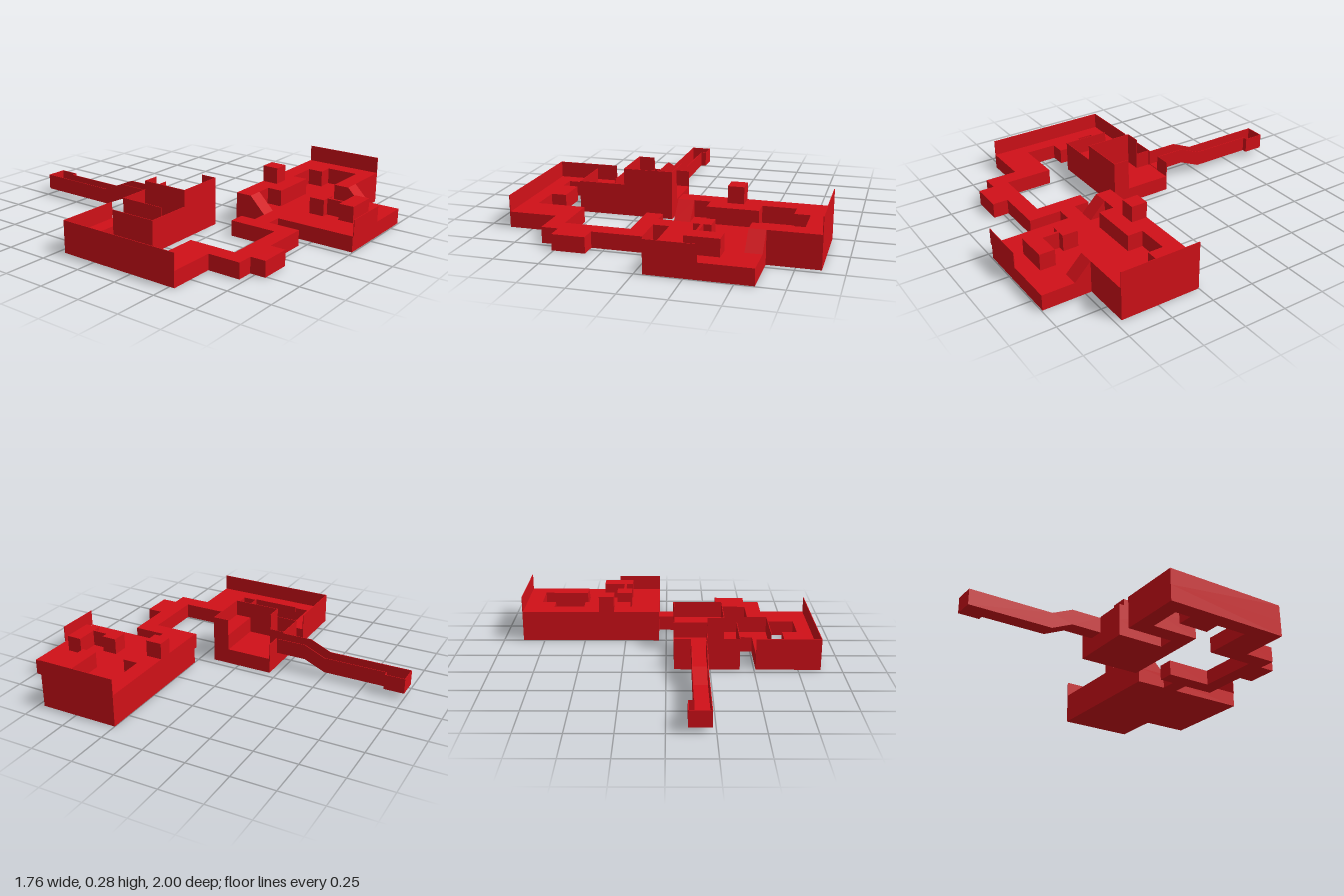
import * as THREE from 'three';

const LOW = 0.09, MID = 0.185, HIGH = 0.28; // floor and wall levels
const T = 0.004;                            // thickness of the thin walls

export function createModel() {
  const model = new THREE.Group();
  model.name = 'levelMap';
  const material = new THREE.MeshStandardMaterial({ color: 0xd01018, side: THREE.DoubleSide });

  const add = (name, geometry) => {
    const mesh = new THREE.Mesh(geometry, material);
    mesh.name = name;
    model.add(mesh);
    return mesh;
  };

  // Floor plan of [x, z] corners raised from y0 to y1
  const slab = (name, plan, y0, y1) => {
    const shape = new THREE.Shape(plan.map(([x, z]) => new THREE.Vector2(x, -z)));
    const geometry = new THREE.ExtrudeGeometry(shape, { depth: y1 - y0, bevelEnabled: false });
    add(name, geometry.rotateX(-Math.PI / 2).translate(0, y0, 0));
  };

  // Side profile of [z, y] corners spanning x0 to x1
  const profile = (name, points, x0, x1) => {
    const shape = new THREE.Shape(points.map(([z, y]) => new THREE.Vector2(z, y)));
    const geometry = new THREE.ExtrudeGeometry(shape, { depth: x1 - x0, bevelEnabled: false });
    add(name, geometry.rotateY(-Math.PI / 2).translate(x1, 0, 0));
  };

  const block = (name, x0, x1, z0, z1, y0, y1) =>
    add(name, new THREE.BoxGeometry(x1 - x0, y1 - y0, z1 - z0))
      .position.set((x0 + x1) / 2, (y0 + y1) / 2, (z0 + z1) / 2);

  // Thin walls, kept just inside the outer edges
  const wallX = (name, x, z0, z1, y0, y1) => block(name, x - T / 2, x + T / 2, z0, z1, y0, y1);
  const wallZ = (name, z, x0, x1, y0, y1) => block(name, x0, x1, z - T / 2, z + T / 2, y0, y1);

  // Winding path and small room
  slab('windingPath', [
    [0.045, 0.435], [0.045, 0.53], [-0.045, 0.53], [-0.045, 0.72], [-0.325, 0.72], [-0.325, 0.81],
    [-0.51, 0.81], [-0.51, 0.72], [-0.605, 0.72], [-0.605, 0.53], [-0.88, 0.53], [-0.88, -0.21],
    [-0.51, -0.21], [-0.51, 0.07], [-0.42, 0.07], [-0.42, -0.205], [-0.045, -0.205], [-0.045, 0.165],
    [-0.605, 0.165], [-0.605, -0.115], [-0.79, -0.115], [-0.79, -0.02], [-0.7, -0.02], [-0.7, 0.16],
    [-0.79, 0.16], [-0.79, 0.345], [-0.51, 0.345], [-0.51, 0.625], [-0.14, 0.625], [-0.14, 0.345],
    [-0.045, 0.345], [-0.045, 0.435],
  ], 0, LOW);
  wallX('pathOuterWall', -0.878, -0.21, 0.53, LOW, MID);
  wallZ('pathBackWall', -0.208, -0.88, -0.51, LOW, MID);
  wallX('pathInnerWall', -0.603, -0.115, 0.165, LOW, MID);

  // Small room walls and balcony
  wallZ('roomFrontWall', 0.163, -0.605, -0.33, LOW, MID);
  wallZ('roomTallFrontWall', 0.163, -0.33, -0.045, LOW, HIGH);
  wallX('roomEndWall', -0.047, 0.07, 0.165, LOW, HIGH);
  wallX('roomTallDivider', -0.33, -0.115, 0.165, LOW, HIGH);
  wallZ('roomTallReturn', -0.115, -0.33, -0.235, LOW, HIGH);
  wallX('roomDoorJamb', -0.235, -0.205, -0.115, LOW, MID);
  wallX('roomOuterWall', -0.418, -0.205, 0.07, LOW, MID);
  wallZ('roomBackWall', -0.203, -0.42, -0.23, LOW, MID);
  wallZ('roomBackWall', -0.203, -0.14, -0.045, LOW, MID);
  block('balcony', -0.33, -0.045, 0.067, 0.165, LOW, MID);

  // Sloping open corridor with an end room
  const run = [[-0.205, LOW], [-0.385, LOW], [-0.51, 0.035], [-1, 0.035]];
  const strip = (path, h) => [...path, ...path.map(([z, y]) => [z, y + h]).reverse()];
  const toRoom = [...run.slice(0, 3), [-0.88, 0.035]];
  profile('corridorFloor', strip(run, T), -0.23, -0.14);
  profile('corridorWall', strip(run, 0.09), -0.23, -0.23 + T);
  profile('corridorWall', strip(toRoom, 0.09), -0.14 - T, -0.14);
  block('endRoomFloor', -0.14, -0.11, -1, -0.88, 0.035, 0.035 + T);
  wallX('endRoomSide', -0.112, -1, -0.88, 0.035, 0.125);
  wallZ('endRoomBack', -0.998, -0.23, -0.11, 0.035, 0.125);
  wallZ('endRoomFront', -0.882, -0.14, -0.11, 0.035, 0.125);

  // Large platform: base, raised terrace around the sunken court
  slab('platformBase', [
    [0.045, 0.25], [0.88, 0.25], [0.88, 0.715], [0.6, 0.715], [0.6, 0.995], [0.045, 0.995],
  ], 0, LOW);
  slab('terrace', [
    [0.045, 0.25], [0.88, 0.25], [0.88, 0.715], [0.51, 0.715], [0.51, 0.625], [0.78, 0.625],
    [0.78, 0.435], [0.695, 0.435], [0.695, 0.345], [0.51, 0.345], [0.51, 0.435], [0.225, 0.435],
    [0.225, 0.345], [0.045, 0.345],
  ], LOW, MID);
  for (const [x, z] of [[0.045, 0.345], [0.51, 0.715]])
    profile('ramp', [[z, LOW], [z + 0.093, LOW], [z, MID]], x, x + 0.09);

  // Platform blocks and edge walls
  block('terraceCrate', 0.32, 0.41, 0.25, 0.345, MID, HIGH);
  block('courtCrate', 0.225, 0.32, 0.625, 0.715, LOW, MID);
  block('courtBarrier', 0.225, 0.41, 0.81, 0.9, LOW, MID);
  block('courtFin', 0.265, 0.28, 0.715, 0.81, LOW, MID);
  wallX('platformSideWall', 0.878, 0.25, 0.715, MID, HIGH);
  wallZ('platformFrontWall', 0.998, 0.045, 0.32, LOW, MID);

  return model;
}
